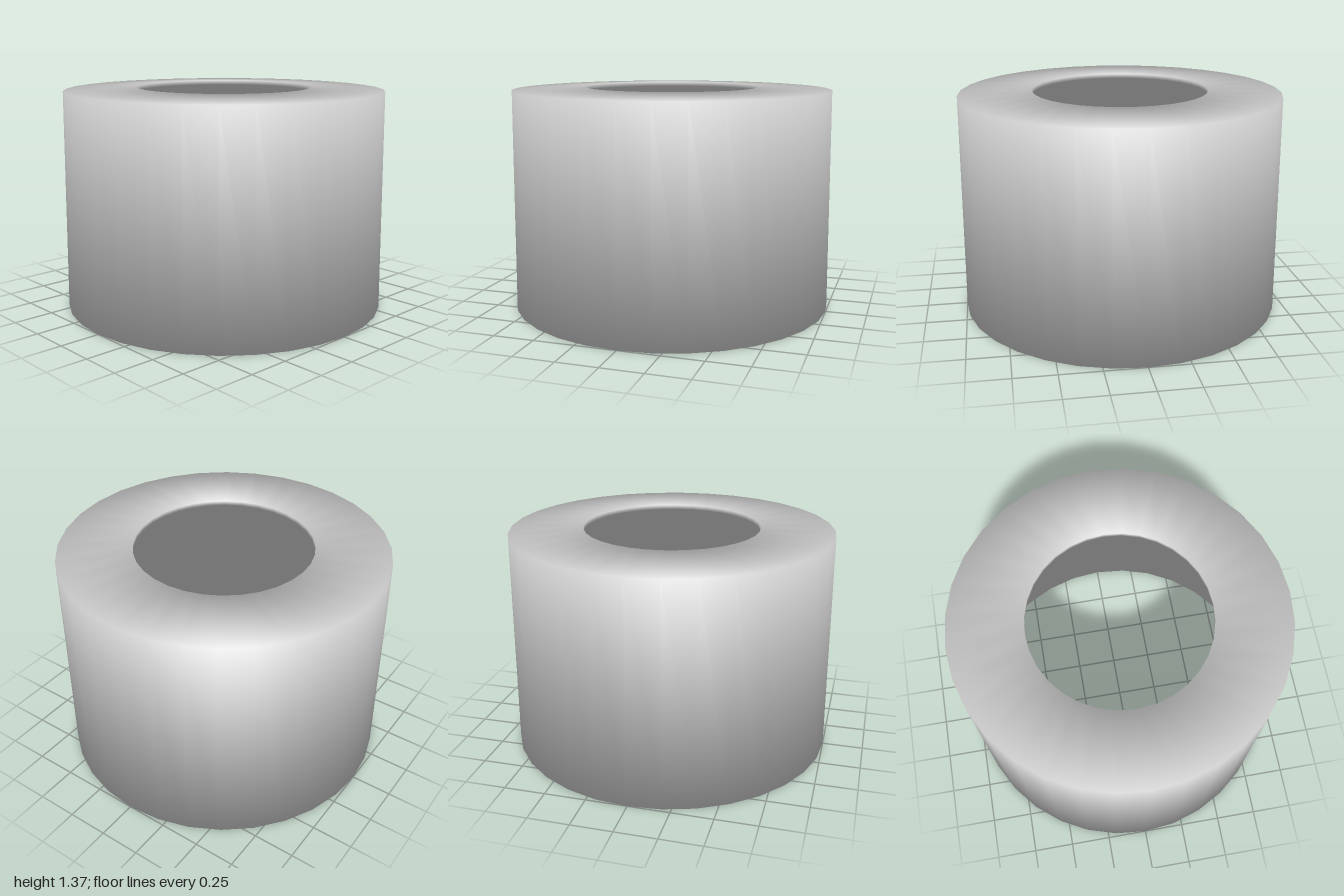
import * as THREE from 'three';

const SIDES = 32;

// Revolve a closed profile; every corner gets one soft normal that bisects its two edges.
function softRing(profile) {
  const n = profile.length;
  const pts = [...profile, profile[0]].map(([r, y]) => new THREE.Vector2(r, y));
  const geo = new THREE.LatheGeometry(pts, SIDES);
  const edgeNormal = (i) => {
    const d = pts[(i + n) % n + 1].clone().sub(pts[(i + n) % n]).normalize();
    return new THREE.Vector2(d.y, -d.x);
  };
  const corner = pts.map((_, j) => edgeNormal(j % n).add(edgeNormal(j % n - 1)).normalize());
  const normals = geo.attributes.normal;
  for (let i = 0; i <= SIDES; i++) {
    const a = (i / SIDES) * Math.PI * 2;
    corner.forEach((c, j) => {
      normals.setXYZ(i * (n + 1) + j, c.x * Math.sin(a), c.y, c.x * Math.cos(a));
    });
  }
  return geo;
}

export function createModel() {
  const group = new THREE.Group();
  group.name = 'collar';
  const material = new THREE.MeshStandardMaterial({ color: 0xcccccc });

  // Thin sleeve, open below, with a slightly raised top flange around a round hole
  const shell = new THREE.Mesh(softRing([
    [1.0, 0],        // outer foot
    [0.99, 1.355],   // outer shoulder
    [0.54, 1.37],    // hole edge, top
    [0.54, 1.342],   // hole edge, underside
    [0.962, 1.328],  // inner shoulder
    [0.972, 0],      // inner foot
  ]), material);
  shell.name = 'flangedSleeve';
  group.add(shell);
  return group;
}
